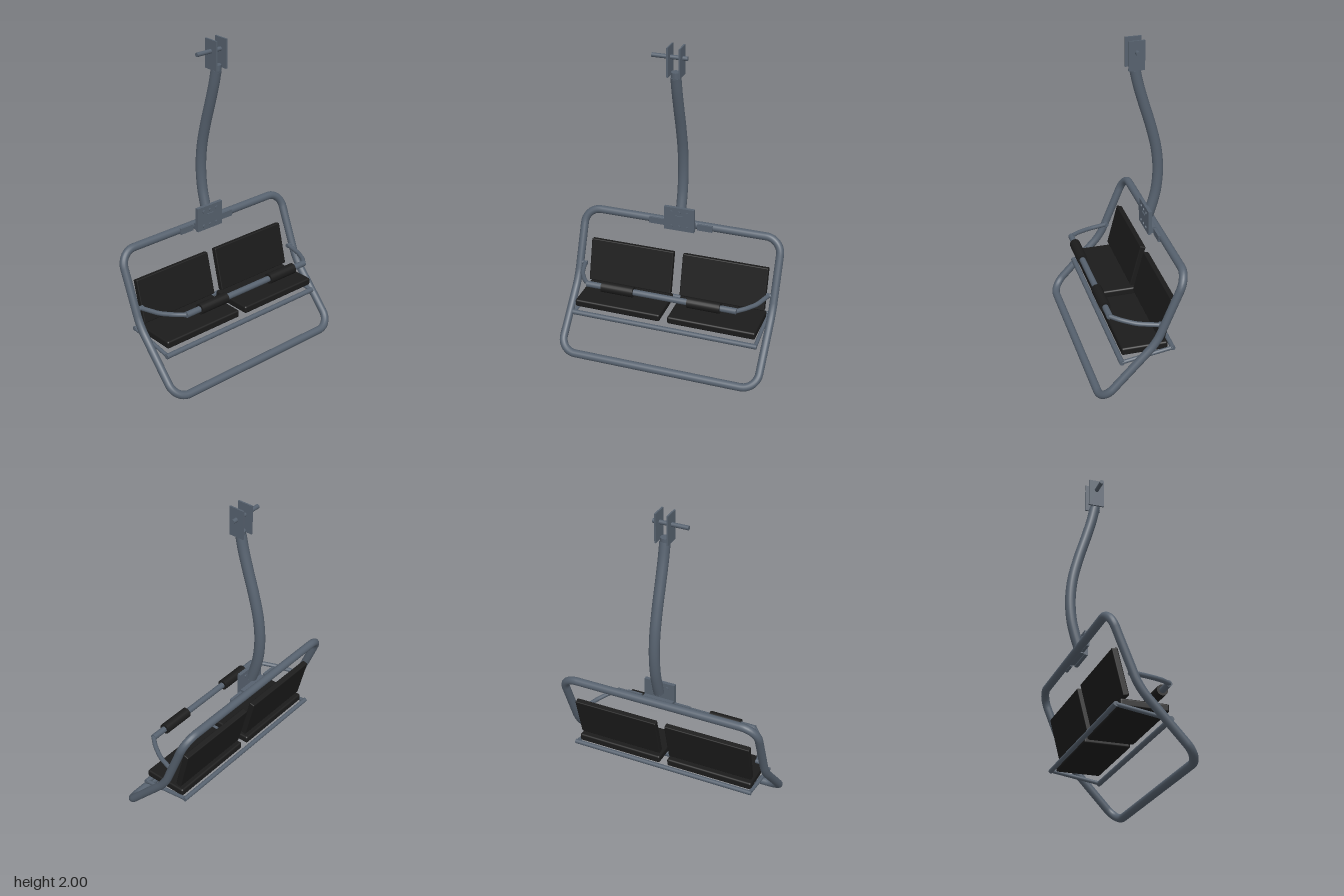
import * as THREE from 'three';
import { RoundedBoxGeometry } from 'three/addons/geometries/RoundedBoxGeometry.js';

const V = (x, y, z) => new THREE.Vector3(x, y, z);

// Path of straight runs joined by rounded bends; each point is [x, y, z, bendLength]
function bentPath(points, closed = false) {
  const path = new THREE.CurvePath();
  const n = points.length;
  const pos = points.map(p => V(p[0], p[1], p[2]));
  const toward = (a, b, d) => a.clone().add(b.clone().sub(a).setLength(d));
  let first = null, last = null;
  for (let i = 0; i < n; i++) {
    const p = pos[i], r = points[i][3] || 0;
    const isEnd = !closed && (i === 0 || i === n - 1);
    const a = isEnd ? p : toward(p, pos[(i + n - 1) % n], r);
    const b = isEnd ? p : toward(p, pos[(i + 1) % n], r);
    if (last) path.add(new THREE.LineCurve3(last, a));
    if (!isEnd) path.add(new THREE.CubicBezierCurve3(a, a.clone().lerp(p, 0.55), b.clone().lerp(p, 0.55), b));
    if (!first) first = a;
    last = b;
  }
  if (closed) path.add(new THREE.LineCurve3(last, first));
  return path;
}

export function createModel() {
  const steel = new THREE.MeshStandardMaterial({ color: 0x56616e });
  steel.name = 'steel grey';
  const black = new THREE.MeshStandardMaterial({ color: 0x1b1b1b });
  black.name = 'black padding';

  const model = new THREE.Group();
  model.name = 'chairlift';

  const add = (name, geometry, material, x = 0, y = 0, z = 0) => {
    const mesh = new THREE.Mesh(geometry, material);
    mesh.name = name;
    mesh.position.set(x, y, z);
    model.add(mesh);
    return mesh;
  };
  const box = (name, w, h, d, x, y, z) => add(name, new THREE.BoxGeometry(w, h, d), steel, x, y, z);
  // Straight round bar between two points
  const rod = (name, a, b, r, material = steel) => {
    const mesh = add(name, new THREE.CylinderGeometry(r, r, a.distanceTo(b), 20), material);
    mesh.position.copy(a).lerp(b, 0.5);
    mesh.quaternion.setFromUnitVectors(V(0, 1, 0), b.clone().sub(a).normalize());
    return mesh;
  };

  // Main tubular loop, kinked along its sides
  const loop = bentPath([
    [-0.64, 0.803, -0.238, 0.1], [0.64, 0.803, -0.238, 0.1], [0.64, 0.38, -0.068, 0.06],
    [0.64, 0.025, 0.262, 0.1], [-0.64, 0.025, 0.262, 0.1], [-0.64, 0.38, -0.068, 0.06],
  ], true);
  add('mainFrame', new THREE.TubeGeometry(loop, 260, 0.025, 16, true), steel);

  // Curved hanger arm with end caps
  const arm = new THREE.CatmullRomCurve3([
    V(0, 1.815, -0.112), V(0, 1.72, -0.133), V(0, 1.6, -0.167), V(0, 1.45, -0.212), V(0, 1.3, -0.247),
    V(0, 1.16, -0.259), V(0, 1.03, -0.249), V(0, 0.94, -0.228), V(0, 0.865, -0.205),
  ]);
  add('hangerArm', new THREE.TubeGeometry(arm, 70, 0.032, 18), steel);
  for (const t of [0, 1]) {
    const p = arm.getPointAt(t), d = arm.getTangentAt(t).multiplyScalar(t ? 0.002 : -0.002);
    rod('hangerArmCap', p.clone().sub(d), p.clone().add(d), 0.032);
  }
  rod('hangerNeck', V(0, 1.8, -0.11), V(0, 1.845, -0.11), 0.028);

  // Grip plates and cross pin at the top
  for (const s of [-1, 1]) box('gripPlate', 0.01, 0.178, 0.096, s * 0.037, 1.911, -0.112);
  rod('gripPin', V(-0.145, 1.932, -0.112), V(0.072, 1.932, -0.112), 0.013);

  // Clamp plate with bolts, slot and side tabs
  box('clampPlate', 0.194, 0.155, 0.022, 0, 0.853, -0.187);
  for (const x of [-0.05, 0, 0.05]) {
    for (const y of [0.9, 0.803]) rod('clampBolt', V(x, y, -0.205), V(x, y, -0.169), 0.01);
  }
  box('clampSlot', 0.05, 0.008, 0.008, 0, 0.875, -0.174);
  box('clampBridge', 0.19, 0.04, 0.04, 0, 0.803, -0.213);
  for (const s of [-1, 1]) box('clampTab', 0.097, 0.04, 0.016, s * 0.157, 0.803, -0.213);

  // Seat support frame
  rod('seatFrontBar', V(-0.6, 0.242, 0.127), V(0.6, 0.242, 0.127), 0.016);
  rod('seatRearBar', V(-0.6, 0.29, -0.183), V(0.6, 0.29, -0.183), 0.014);
  for (const s of [-1, 1]) {
    rod('seatSideRail', V(s * 0.59, 0.242, 0.127), V(s * 0.59, 0.29, -0.183), 0.012);
  }

  // Seat cushions and backrests
  for (const s of [-1, 1]) {
    add('seatCushion', new RoundedBoxGeometry(0.56, 0.048, 0.28, 3, 0.012), black, s * 0.305, 0.308, -0.015);
    const back = add('backrest', new RoundedBoxGeometry(0.55, 0.275, 0.036, 3, 0.006), black, s * 0.305, 0.484, -0.151);
    back.rotation.x = -0.245;
  }

  // Safety bar with bent side arms and padded grips
  rod('safetyBar', V(-0.478, 0.497, 0.168), V(0.478, 0.497, 0.168), 0.019);
  for (const s of [-1, 1]) {
    const side = bentPath([
      [s * 0.605, 0.474, -0.1], [s * 0.568, 0.48, 0.03, 0.03],
      [s * 0.52, 0.491, 0.115, 0.02], [s * 0.475, 0.497, 0.168],
    ]);
    add('safetyBarArm', new THREE.TubeGeometry(side, 40, 0.014, 14), steel);
    rod('safetyBarPivot', V(s * 0.59, 0.474, -0.1), V(s * 0.63, 0.474, -0.1), 0.014);
    rod('gripPad', V(s * 0.173, 0.497, 0.168), V(s * 0.378, 0.497, 0.168), 0.033, black);
  }

  return model;
}
